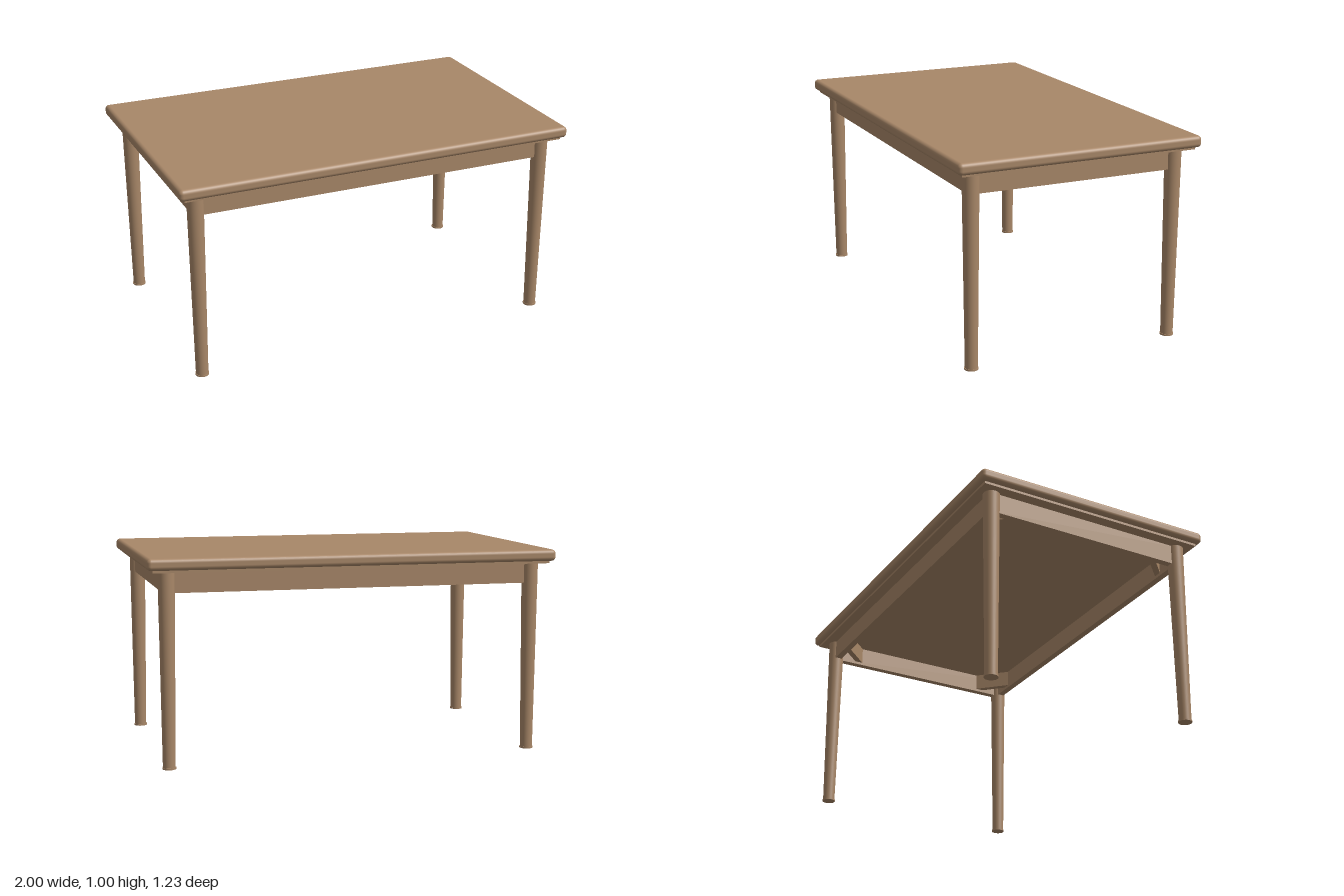
import * as THREE from 'three';
import { RoundedBoxGeometry } from 'three/addons/geometries/RoundedBoxGeometry.js';

export function createModel() {
  const table = new THREE.Group();
  table.name = 'table';
  const wood = new THREE.MeshStandardMaterial({ color: 0xa88768 });
  wood.name = 'wood';

  const add = (name, geometry, x, y, z, turn = 0) => {
    const mesh = new THREE.Mesh(geometry, wood);
    mesh.name = name;
    mesh.position.set(x, y, z);
    mesh.rotation.y = turn;
    table.add(mesh);
  };

  const legX = 0.9, legZ = 0.518;
  const apronTop = 0.932, apronHeight = 0.099, apronThick = 0.034;
  const apronY = apronTop - apronHeight / 2;

  // Rounded top with a thin stepped plate below it
  add('tableTop', new RoundedBoxGeometry(2, 0.056, 1.23, 4, 0.02), 0, 0.972, 0);
  add('underPlate', new THREE.BoxGeometry(1.946, 0.016, 1.182), 0, 0.94, 0);

  // Tapered round leg with a slightly wider glide at the foot
  const legGeometry = new THREE.CylinderGeometry(0.04, 0.03, apronTop - 0.008, 32);
  const glideGeometry = new THREE.CylinderGeometry(0.033, 0.033, 0.008, 32);
  const braceGeometry = new THREE.BoxGeometry(0.2, 0.085, 0.03);
  const braceOffset = 0.105 / Math.SQRT2;

  for (const sx of [-1, 1]) {
    for (const sz of [-1, 1]) {
      add('leg', legGeometry, sx * legX, (apronTop + 0.008) / 2, sz * legZ);
      add('footGlide', glideGeometry, sx * legX, 0.004, sz * legZ);
      // Diagonal brace inside the corner
      add('cornerBrace', braceGeometry, sx * (legX - braceOffset), apronTop - 0.0425,
        sz * (legZ - braceOffset), sx * sz * Math.PI / 4);
    }
  }

  // Aprons running between the legs
  const longApron = new THREE.BoxGeometry(legX * 2, apronHeight, apronThick);
  const shortApron = new THREE.BoxGeometry(apronThick, apronHeight, legZ * 2);
  for (const s of [-1, 1]) {
    add('longApron', longApron, 0, apronY, s * legZ);
    add('shortApron', shortApron, s * legX, apronY, 0);
  }
  return table;
}
